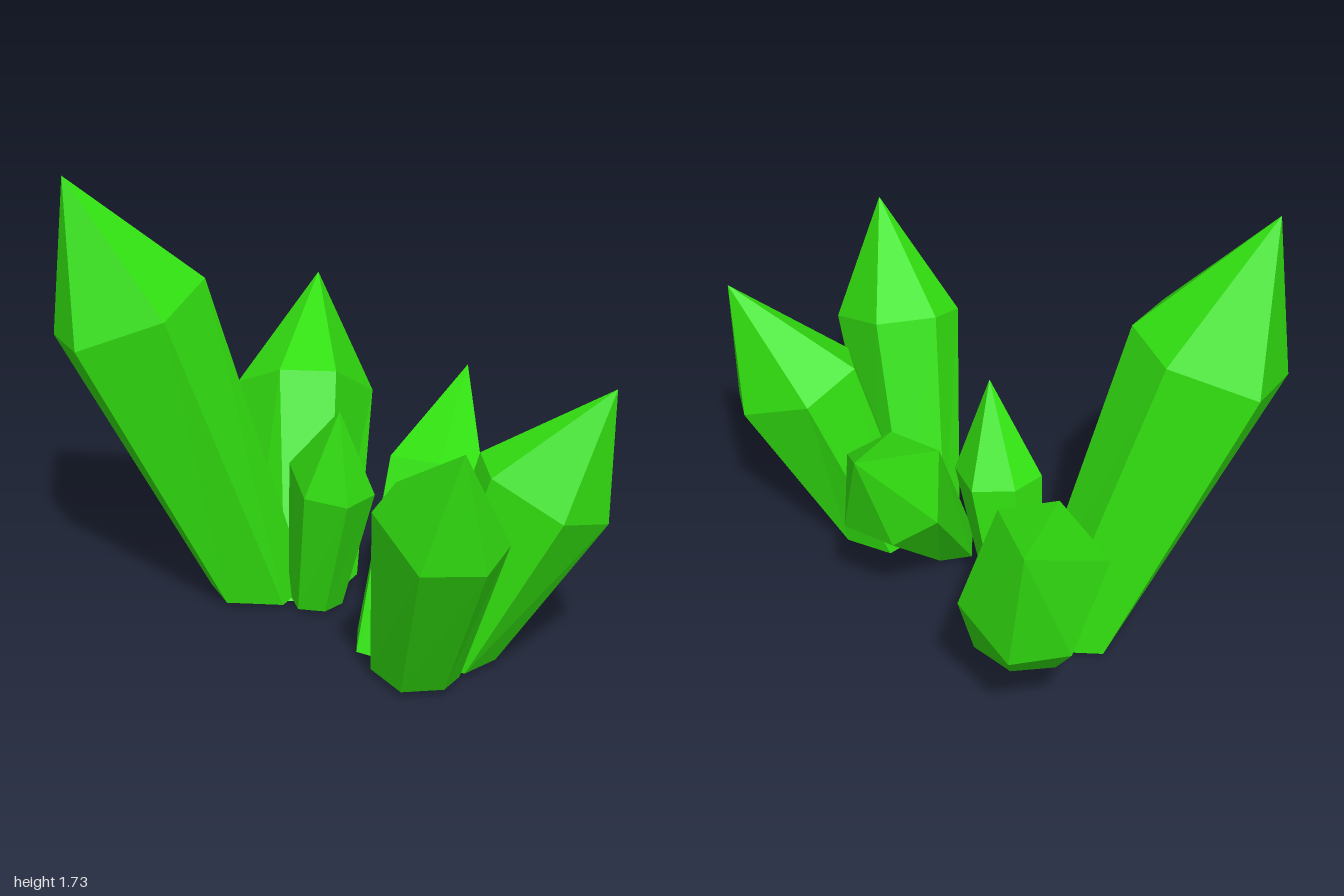
import * as THREE from 'three';

// Each crystal: base centre, shoulder centre, tip, base/shoulder size ratio, and
// half of its six-sided shoulder outline as [dx, dz] (the other half is opposite).
const CRYSTALS = [
  { name: 'tallBackCrystal', base: [-0.04, 0.015, -0.43], shoulder: [-0.42, 1.205, -0.705], tip: [-0.61, 1.725, -0.83],
    ratio: 0.66, half: [[0.3, -0.04], [0.2, 0.2], [-0.09, 0.295]] },
  { name: 'backLeftCrystal', base: [0.13, 0, -0.35], shoulder: [0.45, 0.64, -0.66], tip: [0.72, 1.005, -0.855],
    ratio: 0.77, half: [[0.23, 0.15], [-0.07, 0.24], [-0.24, 0.1]] },
  { name: 'smallCentreCrystal', base: [0.03, 0.015, -0.19], shoulder: [0, 0.57, -0.07], tip: [-0.07, 0.9, 0.04],
    ratio: 0.65, half: [[0.175, -0.03], [0.06, 0.165], [-0.085, 0.165]] },
  { name: 'leaningCrystal', base: [-0.05, 0.025, 0.29], shoulder: [0.33, 0.555, 0.16], tip: [0.62, 0.885, 0.05],
    ratio: 0.75, half: [[0.18, 0.07], [0.01, 0.225], [-0.13, 0.13]] },
  { name: 'frontRightCrystal', base: [-0.15, 0.025, 0.5], shoulder: [-0.315, 0.755, 0.765], tip: [-0.44, 1.14, 0.98],
    ratio: 0.68, half: [[0.205, -0.09], [0.135, 0.2], [-0.025, 0.235]] },
  { name: 'frontLeftCrystal', base: [0.06, 0.025, 0.5], shoulder: [0.25, 0.715, 0.75], tip: [0.38, 1.12, 0.96],
    ratio: 0.67, half: [[0.21, 0.07], [0.105, 0.215], [-0.13, 0.2]] },
];

function crystalGeometry({ base, shoulder, tip, ratio, half }) {
  const b = new THREE.Vector3(...base);
  const s = new THREE.Vector3(...shoulder);
  const t = new THREE.Vector3(...tip);
  const axis = s.clone().sub(b);

  // full outline, counter-clockwise from above
  const outline = [...half, ...half.map(([x, z]) => [-x, -z])]
    .sort((p, q) => Math.atan2(-p[1], p[0]) - Math.atan2(-q[1], q[0]));

  // foot is level; shoulder is square to the axis
  const foot = outline.map(([x, z]) => new THREE.Vector3(x * ratio, 0, z * ratio).add(b));
  const ring = outline.map(([x, z]) =>
    new THREE.Vector3(x, -(axis.x * x + axis.z * z) / axis.y, z).add(s));

  const points = [];
  for (let i = 0; i < outline.length; i++) {
    const j = (i + 1) % outline.length;
    points.push(foot[i], foot[j], ring[j], foot[i], ring[j], ring[i]); // side
    points.push(ring[i], ring[j], t); // point
    points.push(foot[j], foot[i], b); // underside
  }
  const geometry = new THREE.BufferGeometry().setFromPoints(points);
  geometry.computeVertexNormals();
  return geometry;
}

export function createModel() {
  const group = new THREE.Group();
  group.name = 'crystalCluster';
  const green = new THREE.MeshStandardMaterial({ color: 0x32e010, flatShading: true });
  green.name = 'crystalGreen';
  for (const crystal of CRYSTALS) {
    const mesh = new THREE.Mesh(crystalGeometry(crystal), green);
    mesh.name = crystal.name;
    group.add(mesh);
  }
  return group;
}
